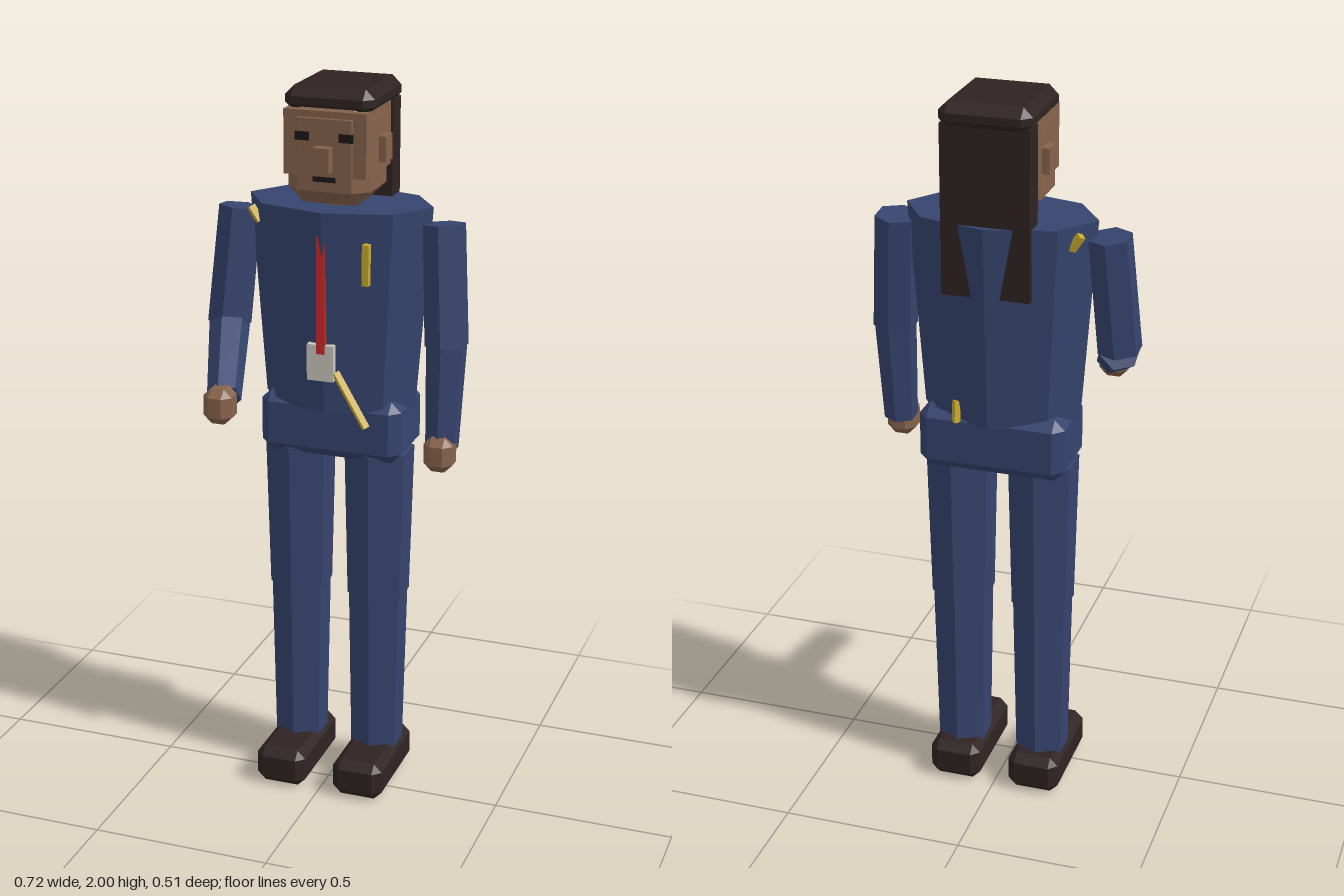
import * as THREE from 'three';
import { ConvexGeometry } from 'three/addons/geometries/ConvexGeometry.js';

const V = (x, y, z) => new THREE.Vector3(x, y, z);

function makeMaterial(name, color) {
  const m = new THREE.MeshStandardMaterial({ color, flatShading: true });
  m.name = name;
  return m;
}

// Box with a single flat chamfer on every edge
function chamferBox(w, h, d, b) {
  const pts = [];
  for (const sx of [-1, 1]) for (const sy of [-1, 1]) for (const sz of [-1, 1]) {
    const x = w / 2, y = h / 2, z = d / 2;
    pts.push(V(sx * x, sy * (y - b), sz * (z - b)));
    pts.push(V(sx * (x - b), sy * y, sz * (z - b)));
    pts.push(V(sx * (x - b), sy * (y - b), sz * z));
  }
  return new ConvexGeometry(pts);
}

export function createModel() {
  const root = new THREE.Group();
  root.name = 'standingFigure';

  const suit = makeMaterial('navyCloth', 0x36446e);
  const skin = makeMaterial('brownSkin', 0x86634b);
  const dark = makeMaterial('darkBrown', 0x2e2322);
  const ink = makeMaterial('black', 0x1c1516);
  const gold = makeMaterial('gold', 0xc9aa2c);
  const red = makeMaterial('red', 0xcc2a28);
  const pale = makeMaterial('paleGrey', 0xcac7c0);

  const add = (name, geometry, material, x, y, z) => {
    const mesh = new THREE.Mesh(geometry, material);
    mesh.name = name;
    mesh.position.set(x, y, z);
    root.add(mesh);
    return mesh;
  };
  const box = (name, mat, w, h, d, x, y, z) =>
    add(name, new THREE.BoxGeometry(w, h, d), mat, x, y, z);
  const bevelBox = (name, mat, w, h, d, b, x, y, z) =>
    add(name, chamferBox(w, h, d, b), mat, x, y, z);

  // Tapered limb running from point a (top) to point b
  const limb = (name, mat, a, b, ra, rb, sides = 6) => {
    const dir = a.clone().sub(b);
    const mid = a.clone().add(b).multiplyScalar(0.5);
    const mesh = add(name, new THREE.CylinderGeometry(ra, rb, dir.length(), sides), mat, mid.x, mid.y, mid.z);
    mesh.quaternion.setFromUnitVectors(V(0, 1, 0), dir.normalize());
    return mesh;
  };

  // Torso and hips
  const torso = add('torso', new THREE.CylinderGeometry(0.257, 0.215, 0.555, 8), suit, 0, 1.408, -0.095);
  torso.scale.z = 0.615;
  bevelBox('hips', suit, 0.4, 0.175, 0.225, 0.028, 0, 1.073, -0.102);

  // Legs and shoes
  for (const s of [-1, 1]) {
    const x = s * 0.115;
    limb('upperLeg', suit, V(x, 1.0, -0.092), V(x, 0.57, -0.092), 0.098, 0.088);
    limb('lowerLeg', suit, V(x, 0.575, -0.092), V(x, 0.1, -0.09), 0.084, 0.075);
    bevelBox('shoe', dark, 0.145, 0.11, 0.305, 0.023, x, 0.055, -0.048);
  }

  // Arms: the right one is bent forwards, the left one hangs
  const arms = [
    { s: -1, wrist: V(-0.228, 1.195, 0.185), hand: V(-0.228, 1.185, 0.212) },
    { s: 1, wrist: V(0.31, 1.045, -0.035), hand: V(0.311, 1.037, -0.014) },
  ];
  for (const { s, wrist, hand } of arms) {
    const shoulder = V(s * 0.287, 1.645, -0.094), elbow = V(s * 0.31, 1.325, -0.06);
    limb('upperArm', suit, shoulder, elbow, 0.058, 0.06);
    limb('forearm', suit, elbow, wrist, 0.056, 0.046);
    bevelBox('hand', skin, 0.08, 0.098, 0.082, 0.022, hand.x, hand.y, hand.z);
  }

  // Head
  limb('neck', skin, V(0, 1.74, -0.075), V(0, 1.67, -0.075), 0.045, 0.045, 8);
  bevelBox('head', skin, 0.228, 0.27, 0.205, 0.04, 0, 1.83, -0.068);
  box('upperHead', skin, 0.226, 0.17, 0.2, 0, 1.86, -0.068);
  box('nose', skin, 0.044, 0.066, 0.04, 0, 1.822, 0.042);
  box('mouth', ink, 0.062, 0.013, 0.009, 0, 1.768, 0.034);
  for (const s of [-1, 1]) {
    box('ear', skin, 0.03, 0.068, 0.053, s * 0.118, 1.834, -0.095);
    box('eye', ink, 0.038, 0.022, 0.009, s * 0.06, 1.879, 0.035);
  }

  // Hair: flat crown and long slab down the back
  bevelBox('hairCrown', dark, 0.245, 0.07, 0.268, 0.025, 0, 1.965, -0.116);
  box('backHair', dark, 0.236, 0.45, 0.065, 0, 1.72, -0.202);

  // Tie and plate on the chest
  box('tie', red, 0.024, 0.32, 0.03, -0.003, 1.46, 0.0425);
  box('chestPlate', pale, 0.074, 0.1, 0.03, -0.005, 1.275, 0.042);

  // Gold trims
  box('chestBar', gold, 0.018, 0.11, 0.02, 0.121, 1.555, 0.05);
  limb('waistCord', gold, V(0.035, 1.25, 0.045), V(0.128, 1.11, 0.064), 0.012, 0.012, 4);
  limb('backCord', gold, V(0.09, 1.19, -0.205), V(0.09, 1.13, -0.212), 0.012, 0.012, 4);
  for (const z of [-0.163, -0.028])
    limb('shoulderTrim', gold, V(-0.23, 1.664, z), V(-0.204, 1.625, z), 0.013, 0.013, 4);

  return root;
}
